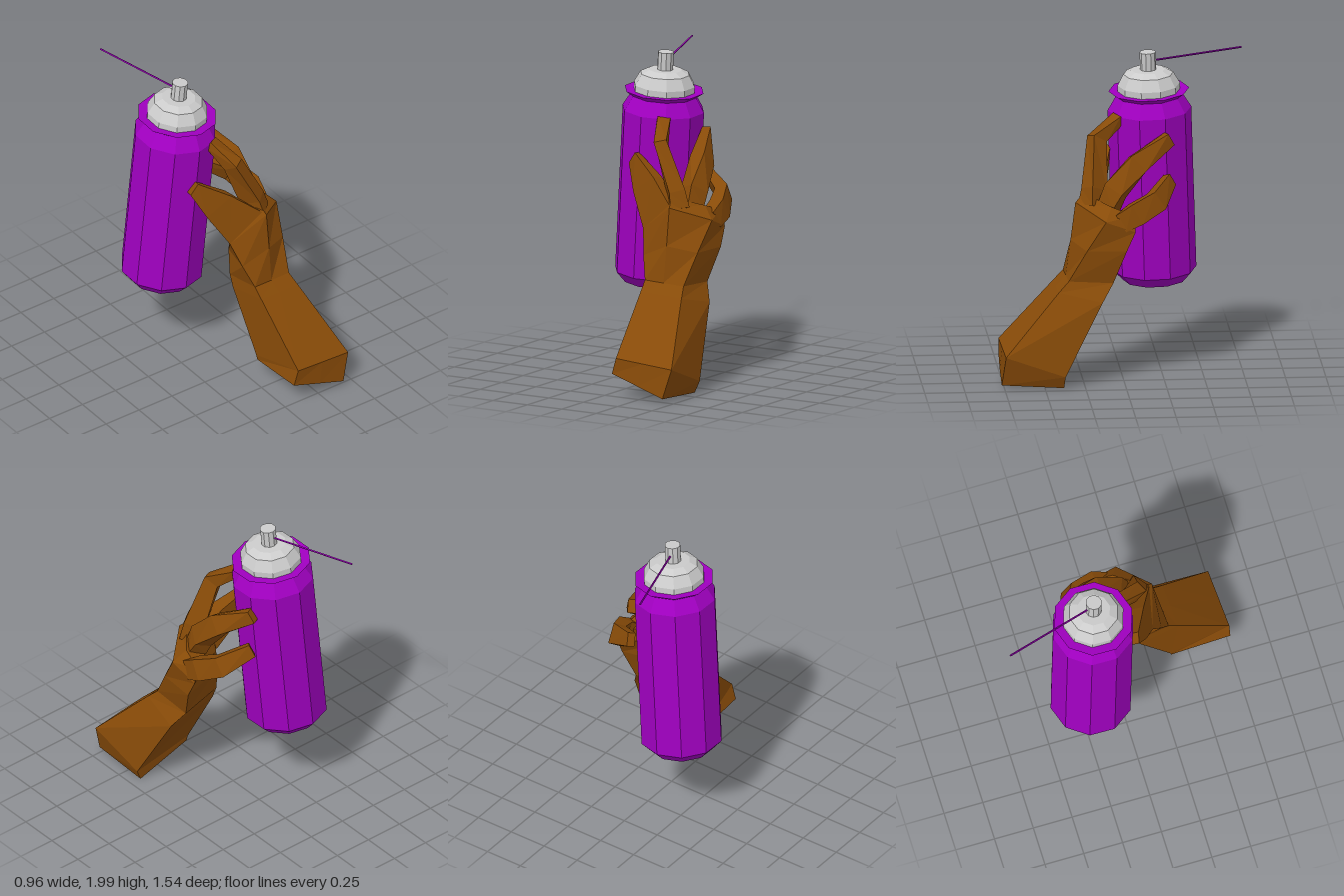
import * as THREE from 'three';

const V = (x, y, z) => new THREE.Vector3(x, y, z);
const mat = (color) => new THREE.MeshStandardMaterial({ color, flatShading: true, side: THREE.DoubleSide });
const purple = mat(0xa000c0), brown = mat(0x884b08), grey = mat(0xcccccc);

// can axis, leaning slightly
const canBase = V(-0.242, 0.535, -0.228), canTop = V(-0.132, 2.0, -0.175);
const axis = canTop.clone().sub(canBase).normalize();

function mesh(name, geometry, material) {
  const m = new THREE.Mesh(geometry, material);
  m.name = name;
  return m;
}

// joins equal-length rings of points into a closed, faceted skin
function loft(rings) {
  const tris = [];
  const n = rings[0].length;
  for (let k = 0; k < rings.length - 1; k++) {
    for (let i = 0; i < n; i++) {
      const j = (i + 1) % n, a = rings[k], b = rings[k + 1];
      tris.push([a[i], a[j], b[j]], [a[i], b[j], b[i]]);
    }
  }
  const first = rings[0], last = rings[rings.length - 1];
  const mid = (r) => r.reduce((s, p) => s.add(p), V(0, 0, 0)).divideScalar(n);
  const c0 = mid(first), c1 = mid(last);
  for (let i = 0; i < n; i++) {
    const j = (i + 1) % n;
    tris.push([c0, first[j], first[i]], [c1, last[i], last[j]]);
  }
  // keep faces pointing outwards
  let volume = 0;
  for (const [a, b, c] of tris) {
    volume += a.clone().sub(c0).dot(b.clone().sub(c0).cross(c.clone().sub(c0)));
  }
  if (volume < 0) tris.forEach((t) => t.reverse());
  const g = new THREE.BufferGeometry().setFromPoints(tris.flat());
  g.computeVertexNormals();
  return g;
}

const toRings = (rings) => rings.map((ring) => ring.map((p) => V(...p)));

// square-section finger hugging the can; each joint is [x, y, z, width, thickness]
function finger(name, joints) {
  const pts = joints.map((j) => V(j[0], j[1], j[2]));
  const rings = pts.map((p, i) => {
    const tangent = pts[Math.min(i + 1, pts.length - 1)].clone().sub(pts[Math.max(i - 1, 0)]).normalize();
    const out = p.clone().sub(canBase);
    out.addScaledVector(axis, -out.dot(axis));
    out.addScaledVector(tangent, -out.dot(tangent)).normalize();
    const side = tangent.clone().cross(out);
    const w = joints[i][3] / 2, t = joints[i][4] / 2;
    return [[-1, -1], [1, -1], [1, 1], [-1, 1]].map(([s, o]) =>
      p.clone().addScaledVector(side, s * w).addScaledVector(out, o * t));
  });
  return mesh(name, loft(rings), brown);
}

function lathe(name, profile, material, sides = 10) {
  return mesh(name, new THREE.LatheGeometry(profile.map(([r, y]) => new THREE.Vector2(r, y)), sides), material);
}

function createCan() {
  const can = new THREE.Group();
  can.name = 'sprayCan';
  can.add(
    lathe('canBody', [[0, 0], [0.2, 0], [0.259, 0.065], [0.259, 1.1], [0.205, 1.19],
      [0.25, 1.222], [0.2, 1.218], [0, 1.218]], purple),
    lathe('canDome', [[0.193, 1.195], [0.193, 1.258], [0.155, 1.328], [0.105, 1.353], [0, 1.353]], grey),
    lathe('nozzle', [[0.05, 1.34], [0.05, 1.465], [0, 1.465]], grey));
  can.position.copy(canBase);
  can.quaternion.setFromUnitVectors(V(0, 1, 0), axis);
  return can;
}

// thin jet leaving the back of the nozzle
function createJet() {
  const a = V(-0.145, 1.938, -0.21), b = V(-0.312, 1.973, -0.768);
  const jet = mesh('sprayJet', new THREE.CylinderGeometry(0.006, 0.006, a.distanceTo(b), 4), purple);
  jet.position.copy(a).lerp(b, 0.5);
  jet.quaternion.setFromUnitVectors(V(0, 1, 0), b.sub(a).normalize());
  return jet;
}

function createHand() {
  const hand = new THREE.Group();
  hand.name = 'hand';
  // forearm end, cuff edge, lower wrist, wrist, palm, knuckles, finger webs
  const arm = toRings([
    [[0.06, 0.15, 0.762], [0.25, 0.09, 0.768], [0.43, 0.03, 0.768], [0.425, 0.005, 0.382], [0.055, 0.125, 0.38]],
    [[0.09, 0.25, 0.764], [0.28, 0.233, 0.755], [0.482, 0.215, 0.745], [0.457, 0.08, 0.375], [0.05, 0.16, 0.375]],
    [[0.056, 0.607, 0.422], [0.197, 0.6, 0.417], [0.344, 0.59, 0.408], [0.382, 0.53, 0.14], [0.02, 0.57, 0.17]],
    [[0.05, 0.67, 0.362], [0.18, 0.663, 0.355], [0.32, 0.655, 0.345], [0.322, 0.64, 0.07], [0.018, 0.65, 0.14]],
    [[0.0, 0.81, 0.3], [0.184, 0.89, 0.325], [0.353, 0.85, 0.235], [0.37, 0.85, -0.01], [0.03, 0.82, 0.11]],
    [[-0.045, 0.96, 0.23], [0.185, 1.125, 0.295], [0.387, 1.04, 0.12], [0.365, 0.97, -0.065], [0.07, 1.0, 0.08]],
    [[0.0, 1.04, 0.2], [0.17, 1.18, 0.24], [0.31, 1.12, 0.08], [0.335, 1.07, -0.06], [0.12, 1.08, 0.08]],
  ]);
  // broad thumb growing out of the palm and tapering to its tip
  const thumb = toRings([
    [[-0.045, 0.96, 0.23], [0.185, 1.125, 0.28], [0.16, 1.1, 0.14], [0.03, 0.97, 0.12]],
    [[-0.165, 1.17, 0.155], [0.0, 1.28, 0.185], [0.01, 1.27, 0.1], [-0.135, 1.17, 0.08]],
    [[-0.24, 1.33, 0.085], [-0.19, 1.4, 0.095], [-0.185, 1.395, 0.05], [-0.235, 1.33, 0.045]],
  ]);
  hand.add(
    mesh('forearmAndPalm', loft(arm), brown),
    mesh('thumb', loft(thumb), brown),
    finger('indexFinger', [
      [0.185, 1.1, 0.19, 0.12, 0.13], [0.16, 1.2, 0.175, 0.1, 0.13],
      [0.035, 1.49, 0.15, 0.08, 0.1], [-0.035, 1.605, 0.01, 0.08, 0.055]]),
    finger('middleFinger', [
      [0.22, 1.1, 0.09, 0.11, 0.11], [0.215, 1.2, 0.05, 0.13, 0.11],
      [0.185, 1.36, -0.09, 0.13, 0.1], [0.09, 1.495, -0.295, 0.085, 0.05]]),
    finger('lastFinger', [
      [0.32, 1.02, 0.02, 0.12, 0.09], [0.325, 1.075, -0.07, 0.14, 0.09],
      [0.27, 1.14, -0.2, 0.13, 0.08], [0.095, 1.235, -0.295, 0.085, 0.05]]));
  return hand;
}

export function createModel() {
  const model = new THREE.Group();
  model.name = 'handHoldingSprayCan';
  model.add(createCan(), createJet(), createHand());
  return model;
}
